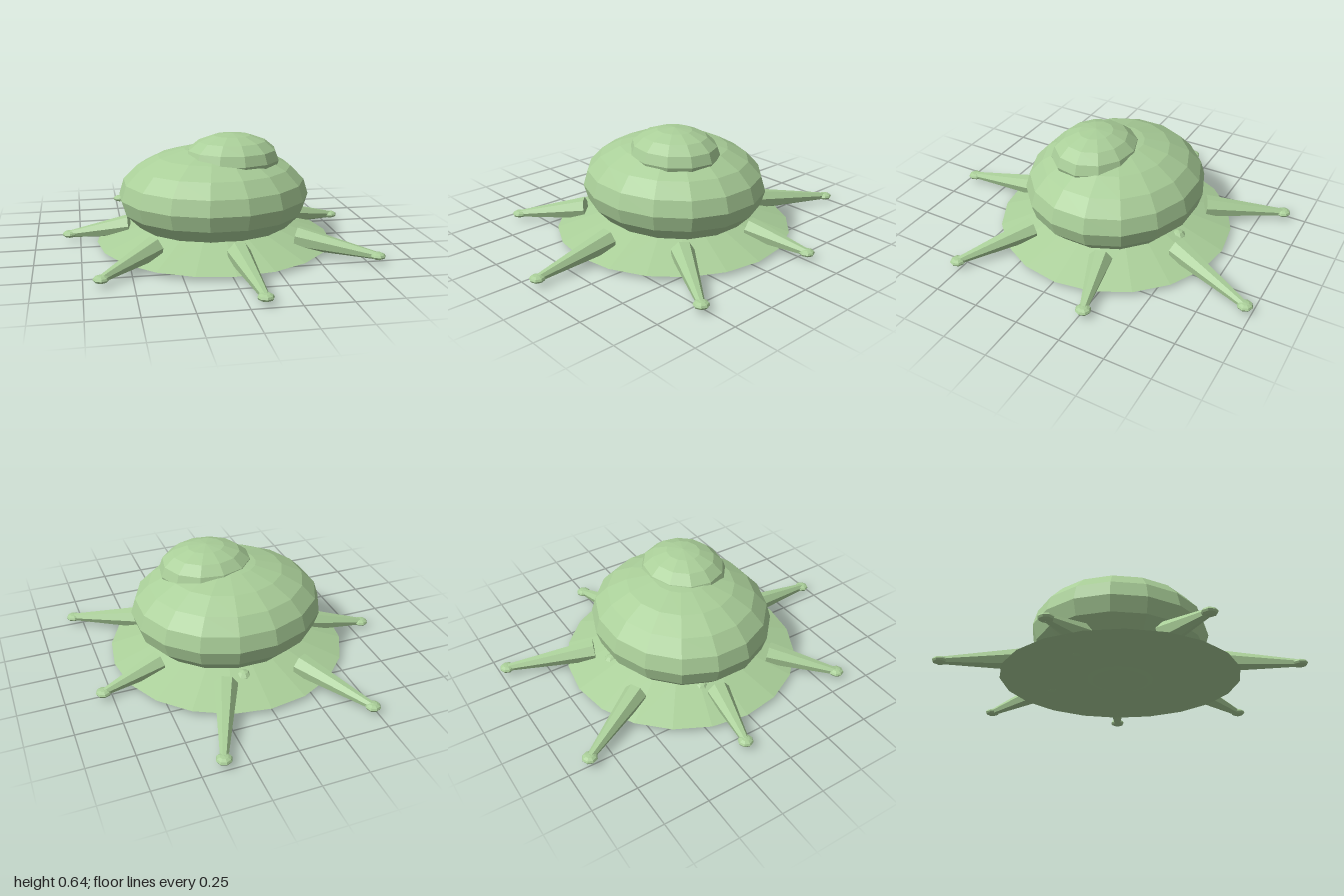
import * as THREE from 'three';

export function createModel() {
  const model = new THREE.Group();
  model.name = 'saucer';
  const green = new THREE.MeshStandardMaterial({ color: 0xaacf99, flatShading: true });
  green.name = 'pale green';

  const add = (geometry, name, x, y, z, parent = model) => {
    const mesh = new THREE.Mesh(geometry, green);
    mesh.name = name;
    mesh.position.set(x, y, z);
    parent.add(mesh);
    return mesh;
  };

  // Faceted ellipsoid, turned about its axis before it is stretched
  const ellipsoid = (rx, ry, rz, sides, rings, turn = 0) =>
    new THREE.SphereGeometry(1, sides, rings).rotateY(turn).scale(rx, ry, rz);

  // Main hull and the off-centre cockpit dome
  add(ellipsoid(0.54, 0.277, 0.497, 16, 10, Math.PI / 16), 'hull', 0.01, 0.285, -0.02);
  add(ellipsoid(0.268, 0.145, 0.238, 12, 8, 0.1), 'dome', 0.1, 0.5, 0.055);

  // Flared skirt with a flat underside
  add(new THREE.CylinderGeometry(0.39, 0.667, 0.095, 20), 'skirt', 0.01, 0.0775, -0.02);

  // Tapered arms, each with a flattened ball at the tip: [base x, base z, tip x, tip z]
  const arms = [
    [0.19, -0.495, 0.375, -0.96],
    [-0.25, -0.47, -0.48, -0.87],
    [-0.47, -0.085, -0.81, -0.145],
    [-0.37, 0.33, -0.66, 0.6],
    [0.05, 0.49, 0.08, 0.955],
    [0.42, 0.29, 0.8, 0.52],
    [0.46, -0.175, 0.795, -0.265],
  ];
  const up = new THREE.Vector3(0, 1, 0);
  for (const [bx, bz, tx, tz] of arms) {
    const arm = new THREE.Group();
    arm.name = 'arm';
    model.add(arm);
    const base = new THREE.Vector3(bx, 0.097, bz);
    const tip = new THREE.Vector3(tx, 0.045, tz);
    const axis = tip.clone().sub(base);
    const mid = base.clone().add(tip).multiplyScalar(0.5);
    const spike = add(new THREE.CylinderGeometry(0.02, 0.065, axis.length(), 7),
      'spike', mid.x, mid.y, mid.z, arm);
    spike.quaternion.setFromUnitVectors(up, axis.normalize());
    add(ellipsoid(0.042, 0.02, 0.042, 8, 6), 'armTip', tx, 0.045, tz, arm);
  }

  // Small bumps under the rear rim of the hull
  for (const [x, z] of [[0.07, -0.445], [-0.39, -0.14]]) {
    add(ellipsoid(0.048, 0.05, 0.048, 8, 6), 'bump', x, 0.073, z);
  }
  return model;
}
